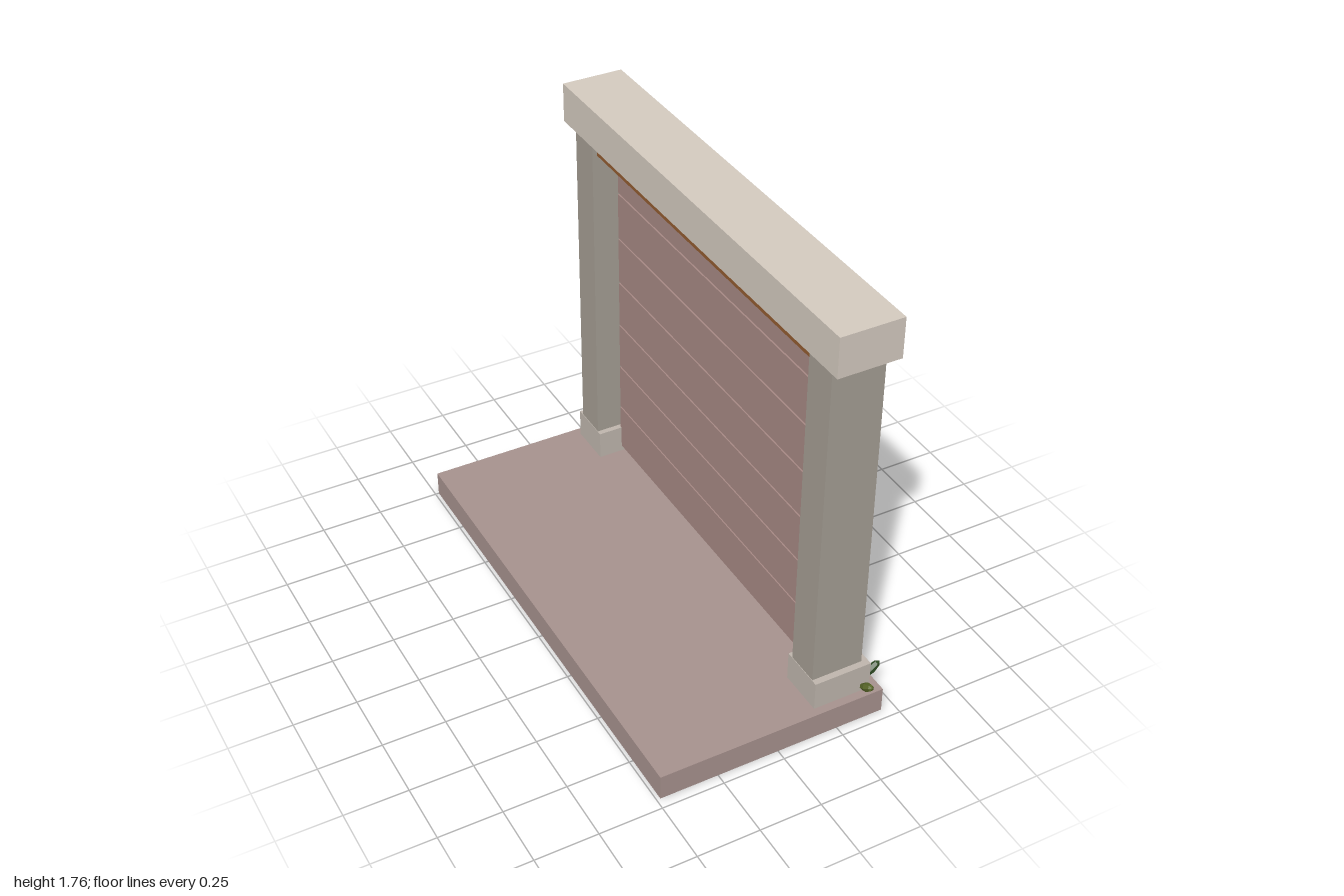
import * as THREE from 'three';

const mat = (color) => new THREE.MeshStandardMaterial({ color, flatShading: true });
const slabMat = mat(0xa8938f), frameMat = mat(0xa88a85), postMat = mat(0xa69f95);
const baseMat = mat(0xc0b7ae), lintelMat = mat(0xd6ccc1), panelMat = mat(0xc6beb4);
const beamMat = mat(0x935c30), darkMat = mat(0x26252e);
const leafMat = mat(0x2f4d24), oliveMat = mat(0x5c6b2a);

export function createModel() {
  const model = new THREE.Group();
  model.name = 'garageDoorway';

  // Box given by its limits along each axis
  const box = (name, material, [x0, x1], [y0, y1], [z0, z1], parent = model) => {
    const mesh = new THREE.Mesh(new THREE.BoxGeometry(x1 - x0, y1 - y0, z1 - z0), material);
    mesh.position.set((x0 + x1) / 2, (y0 + y1) / 2, (z0 + z1) / 2);
    mesh.name = name;
    parent.add(mesh);
  };

  // Ground slab, lintel and timber beam
  box('slab', slabMat, [-0.485, 0.445], [0, 0.105], [-1, 0.957]);
  box('lintel', lintelMat, [0.15, 0.4], [1.6, 1.76], [-1, 0.957]);
  box('beam', beamMat, [0.19, 0.395], [1.535, 1.602], [-0.885, 0.845]);

  // Posts on square plinths, mirrored about the door's middle
  const mid = -0.02;
  for (const side of [-1, 1]) {
    const span = (a, b) => [mid + side * a, mid + side * b].sort((p, q) => p - q);
    box('post', postMat, [0.17, 0.38], [0.22, 1.6], span(0.78, 0.918));
    box('plinth', baseMat, [0.168, 0.405], [0.105, 0.225], span(0.757, 0.944));
  }

  // Sectional door: seven boards, each with four raised panels
  const door = new THREE.Group();
  door.name = 'door';
  model.add(door);
  const columns = [0.567, 0.177, -0.215, -0.605];
  for (let row = 0; row < 7; row++) {
    const y = 0.13 + row * 0.205;
    box('doorSection', frameMat, [0.27, 0.33], [y, y + 0.197], [-0.785, 0.75], door);
    for (const z of columns) {
      box('doorPanel', panelMat, [0.325, 0.343], [y + 0.022, y + 0.178], [z - 0.168, z + 0.168], door);
    }
  }

  // Dark windows and the pair of pull handles
  for (const z of [0.562, 0.18, -0.215, -0.6]) {
    box('window', darkMat, [0.325, 0.36], [1.33, 1.447], [z - 0.135, z + 0.135], door);
  }
  for (const z of [0.03, -0.068]) {
    box('handle', darkMat, [0.33, 0.39], [0.702, 0.81], [z - 0.015, z + 0.015], door);
  }

  // Pointed leaves sprouting from the plinths, long axis tilted upward
  const leafGeo = new THREE.SphereGeometry(1, 6, 4);
  const leaf = (material, pos, direction) => {
    const mesh = new THREE.Mesh(leafGeo, material);
    mesh.scale.set(0.018, 0.044, 0.018);
    mesh.position.set(...pos);
    mesh.quaternion.setFromUnitVectors(new THREE.Vector3(0, 1, 0), new THREE.Vector3(...direction).normalize());
    mesh.name = 'leaf';
    model.add(mesh);
  };
  leaf(leafMat, [0.445, 0.137, 0.873], [0.8, 0.55, 0]);
  leaf(leafMat, [0.445, 0.18, -0.918], [0.8, 0.55, 0]);
  leaf(oliveMat, [0.365, 0.158, 0.965], [0, 0.55, 0.8]);
  leaf(leafMat, [0.3, 0.145, -0.942], [0, 0.1, -0.8]);

  return model;
}
